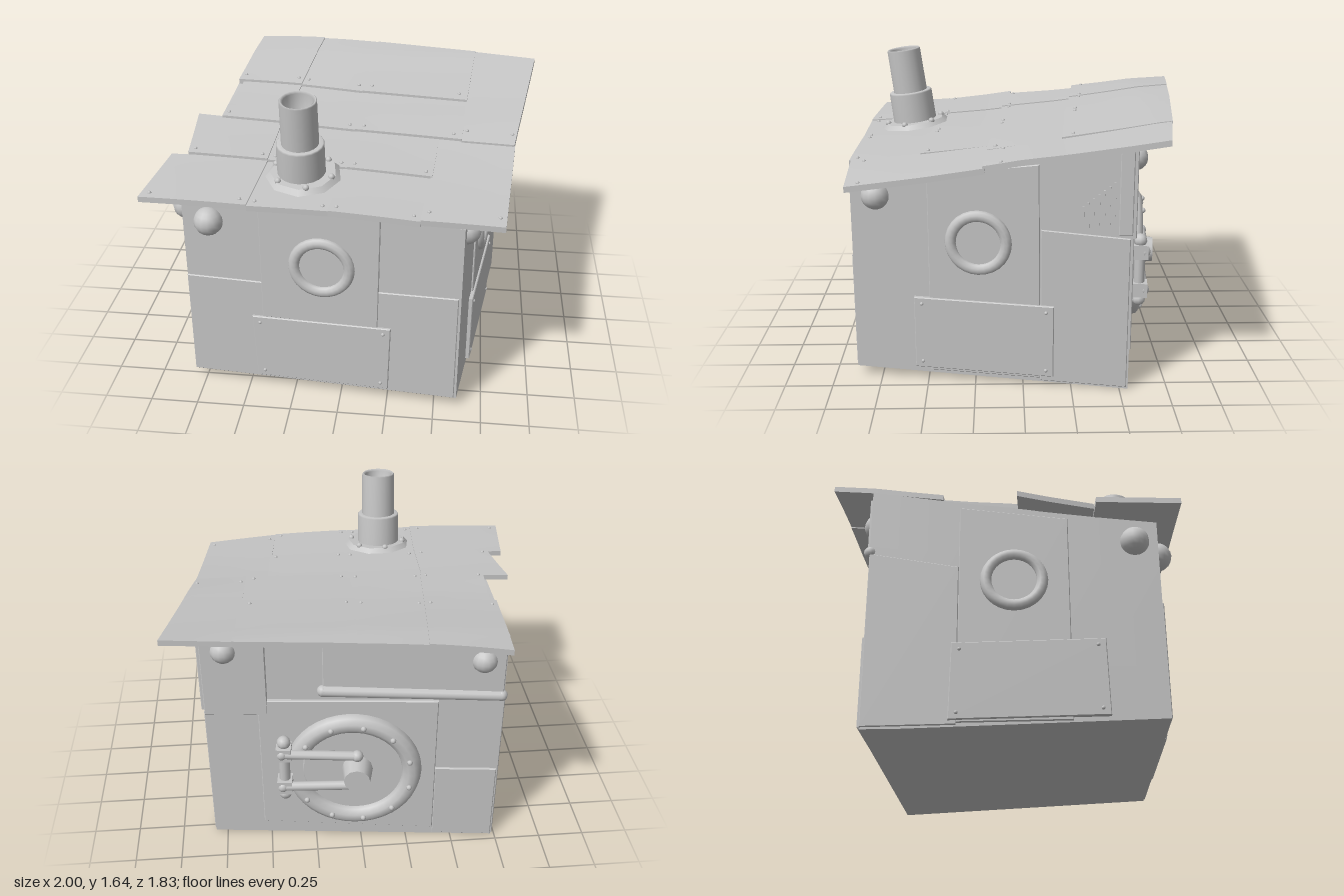
import * as THREE from 'three';

const metal = new THREE.MeshStandardMaterial({ color: 0xc6c6c6 });
metal.name = 'plain grey metal';
metal.side = THREE.DoubleSide;

function add(parent, geometry, name, x = 0, y = 0, z = 0) {
  const mesh = new THREE.Mesh(geometry, metal);
  mesh.name = name;
  mesh.position.set(x, y, z);
  parent.add(mesh);
  return mesh;
}

// Height of the sagging lean-to roof, by depth; it dips to the right at the front and curls down at its corners
const profile = [[-0.92, 1.392], [-0.7, 1.363], [-0.5, 1.322], [-0.2, 1.265], [0.2, 1.2], [0.5, 1.16], [0.92, 1.112]];
function roofY(x, z) {
  let i = 0;
  while (i < profile.length - 2 && z > profile[i + 1][0]) i++;
  const [z0, y0] = profile[i], [z1, y1] = profile[i + 1];
  const t = Math.min(1, Math.max(0, (z - z0) / (z1 - z0)));
  const curl = z > 0 ? 0.035 * z : x < 0 ? -0.088 * z : 0;
  return y0 + (y1 - y0) * t - 0.035 * x * Math.max(0, z) - curl * x * x;
}

// Point inside a plan quad: back-left, back-right, front-right, front-left
function inQuad([a, b, c, d], u, v) {
  const mix = k => (a[k] * (1 - u) + b[k] * u) * (1 - v) + (d[k] * (1 - u) + c[k] * u) * v;
  return [mix(0), mix(1)];
}

// A subdivided box warped onto a plan quad, with top and bottom heights given by rules
function slab(quad, top, bottom) {
  const geo = new THREE.BoxGeometry(1, 1, 1, 8, 4, 10);
  const p = geo.attributes.position;
  for (let i = 0; i < p.count; i++) {
    const v = p.getZ(i) + 0.5, h = p.getY(i) + 0.5;
    const [x, z] = inQuad(quad, p.getX(i) + 0.5, v);
    const lo = bottom(x, z, v), hi = top(x, z, v);
    p.setXYZ(i, x, lo + (hi - lo) * h, z);
  }
  geo.computeVertexNormals();
  return geo;
}

const plan = [[-0.73, -0.71], [0.815, -0.545], [0.618, 0.88], [-0.81, 0.768]];

// A frame on one wall: local x runs along the wall, local z points outward
function wall(root, from, to, name) {
  const g = new THREE.Group();
  g.name = name;
  g.position.set(from[0], 0, from[1]);
  g.rotation.y = Math.atan2(from[1] - to[1], to[0] - from[0]);
  root.add(g);
  return g;
}

// Flat sheet with a small bevel
function sheet(parent, pts, depth, name) {
  const shape = new THREE.Shape(pts.map(p => new THREE.Vector2(...p)));
  const b = 0.004;
  const geo = new THREE.ExtrudeGeometry(shape, { depth, bevelThickness: b, bevelSize: b, bevelOffset: -b, bevelSegments: 1 });
  add(parent, geo, name);
}

function rivet(parent, x, y, z, r = 0.01) {
  add(parent, new THREE.SphereGeometry(r, 8, 6), 'rivet', x, y, z);
}

// Riveted patch near the ground
function patch(parent, pts) {
  sheet(parent, pts, 0.018, 'patchPanel');
  const cx = pts.reduce((s, p) => s + p[0], 0) / 4, cy = pts.reduce((s, p) => s + p[1], 0) / 4;
  for (const [x, y] of pts) rivet(parent, x + Math.sign(cx - x) * 0.04, y + Math.sign(cy - y) * 0.035, 0.021);
}

// Flattened ring around a slightly sunken pane
function porthole(parent, x, y) {
  const ring = add(parent, new THREE.TorusGeometry(0.143, 0.03, 10, 28), 'windowRing', x, y, 0.012);
  ring.scale.z = 0.9;
  const pane = add(parent, new THREE.CylinderGeometry(0.125, 0.125, 0.01, 12), 'windowPane', x, y, 0.011);
  pane.rotation.x = Math.PI / 2;
}

function lamp(parent, x, y, r = 0.075, z = 0.01) {
  add(parent, new THREE.SphereGeometry(r, 14, 10), 'roundLamp', x, y, z);
}

// Straight rod with rounded ends
function bar(parent, a, b, r, name, endScale = 1.25) {
  const curve = new THREE.LineCurve3(new THREE.Vector3(...a), new THREE.Vector3(...b));
  add(parent, new THREE.TubeGeometry(curve, 1, r, 10), name);
  for (const end of [a, b]) add(parent, new THREE.SphereGeometry(r * endScale, 10, 8), name + 'End', ...end);
}

export function createModel() {
  const root = new THREE.Group();
  root.name = 'scrapHut';

  // Skewed body
  add(root, slab(plan, (x, z) => roofY(x, z) - 0.005, (x, z) => Math.max(0, 0.02 + z * 0.036)), 'body');

  // Overlapping roof sheets, row by row: each row gives its back and front edge points
  const rows = [
    [[[-0.7, -0.92], [-0.3, -0.87], [0.04, -0.83], [0.64, -0.75]], [[-0.74, -0.34], [-0.36, -0.3], [0.0, -0.25], [0.6, -0.2]]],
    [[[-0.71, -0.35], [-0.36, -0.32], [0.0, -0.27], [0.61, -0.22]], [[-0.75, 0.07], [-0.4, 0.1], [0.0, 0.14], [0.58, 0.18]]],
    [[[-0.89, 0.04], [-0.41, 0.09], [0.0, 0.12], [0.46, 0.17]], [[-0.85, 0.44], [-0.42, 0.47], [0.0, 0.5], [0.44, 0.53]]],
    [[[-0.94, 0.44], [-0.42, 0.45], [-0.02, 0.48], [0.44, 0.51]], [[-1.0, 0.86], [-0.45, 0.89], [-0.05, 0.89], [0.4, 0.91]]],
  ];
  const quads = [
    [[0.62, -0.75], [0.995, -0.69], [0.86, 0.2], [0.58, 0.19]],
    [[0.46, 0.17], [0.865, 0.19], [0.81, 0.88], [0.4, 0.9]],
  ];
  for (const [back, front] of rows)
    for (let i = 0; i < 3; i++) quads.push([back[i], back[i + 1], front[i + 1], front[i]]);
  quads.forEach((q, i) => {
    const top = (x, z, v) => roofY(x, z) + 0.018 + 0.014 * v + 0.003 * (i % 3);
    add(root, slab(q, top, (x, z, v) => top(x, z, v) - 0.03), 'roofSheet');
    for (const u of [0.08, 0.92]) {
      const [x, z] = inQuad(q, u, 0.9);
      rivet(root, x, top(x, z, 0.9), z);
    }
  });

  // Leaning stove pipe with an open top and a riveted flange
  const chimney = new THREE.Group();
  chimney.name = 'chimney';
  chimney.position.set(-0.218, 1.185, 0.605);
  chimney.rotation.x = 0.13;
  root.add(chimney);
  const tube = (pts, name) => add(chimney, new THREE.LatheGeometry(pts.map(p => new THREE.Vector2(...p)), 20), name);
  tube([[0.124, 0], [0.122, 0.195], [0.116, 0.203], [0.09, 0.203]], 'chimneyCollar');
  tube([[0.096, 0.18], [0.094, 0.44], [0.088, 0.447], [0.076, 0.437], [0.074, 0.28], [0, 0.28]], 'chimneyPipe');
  const flange = add(chimney, new THREE.CylinderGeometry(0.17, 0.195, 0.025, 9), 'chimneyFlange', 0.01, 0.022, 0);
  for (let i = 0; i < 6; i++) {
    const a = i * Math.PI / 3 + 0.3;
    rivet(flange, Math.cos(a) * 0.155, 0.014, Math.sin(a) * 0.155, 0.017);
  }

  const [bl, br, fr, fl] = plan;

  // Front wall
  const front = wall(root, fl, fr, 'frontWall');
  sheet(front, [[0, 0.05], [1.42, 0.055], [1.42, 0.68], [0.41, 0.66], [0, 0.66]], 0.004, 'lowerSheet');
  sheet(front, [[0.4, 0.45], [1.01, 0.45], [1.02, 1.1], [0.4, 1.12]], 0.01, 'middleSheet');
  porthole(front, 0.72, 0.79);
  patch(front, [[0.36, 0.07], [1.07, 0.075], [1.08, 0.46], [0.345, 0.45]]);
  lamp(front, 0.14, 1.0);

  // Wall on +x
  const left = wall(root, fr, br, 'leftWall');
  sheet(left, [[0.4, 0.055], [0.98, 0.04], [0.97, 1.2], [0.4, 1.13]], 0.006, 'middleSheet');
  sheet(left, [[0.98, 0.025], [1.43, 0.012], [1.43, 0.83], [0.98, 0.86]], 0.004, 'rearSheet');
  sheet(left, [[1.37, 0.85], [1.44, 0.85], [1.44, 1.29], [1.37, 1.28]], 0.014, 'cornerStrip');
  porthole(left, 0.66, 0.78);
  patch(left, [[0.32, 0.075], [1.05, 0.055], [1.05, 0.45], [0.32, 0.47]]);
  lamp(left, 0.13, 1.01, 0.075, -0.01);
  for (let i = 0; i < 7; i++)
    add(left, new THREE.BoxGeometry(0.01, 0.12 + 0.022 * i, 0.012), 'ventRib', 1.19 + i * 0.026, 0.93 + 0.011 * i, 0.004);

  // Wall on -x
  const right = wall(root, bl, fl, 'rightWall');
  sheet(right, [[0.46, 0.03], [1.02, 0.04], [1.02, 1.15], [0.46, 1.22]], 0.006, 'middleSheet');
  sheet(right, [[0, 0.01], [0.46, 0.02], [0.46, 0.87], [0, 0.95]], 0.004, 'rearSheet');
  porthole(right, 0.74, 0.79);
  patch(right, [[0.42, 0.04], [1.2, 0.06], [1.19, 0.46], [0.43, 0.44]]);
  lamp(right, 1.36, 1.01);

  // Back wall with covers, beam and round hatch
  const back = wall(root, br, bl, 'backWall');
  sheet(back, [[0.28, 0.09], [1.22, 0.06], [1.22, 0.93], [0.28, 0.92]], 0.014, 'hatchPlate');
  sheet(back, [[0, 0.83], [0.33, 0.83], [0.33, 1.27], [0, 1.28]], 0.016, 'upperCorner');
  sheet(back, [[0.62, 1.0], [1.55, 0.98], [1.55, 1.28], [0.62, 1.28]], 0.008, 'upperSheet');
  sheet(back, [[1.22, 0.015], [1.55, 0.01], [1.55, 0.48], [1.22, 0.48]], 0.008, 'lowerCorner');
  bar(back, [0.62, 0.985, 0.01], [1.54, 0.965, 0.0], 0.032, 'rolledBeam', 1);
  lamp(back, 0.12, 1.22, 0.068, 0.0);
  lamp(back, 1.44, 1.175, 0.068, -0.01);

  const hatch = new THREE.Group();
  hatch.name = 'hatch';
  hatch.position.set(0.77, 0.49, 0.02);
  back.add(hatch);
  const ringY = -0.01;
  const ring = add(hatch, new THREE.TorusGeometry(0.312, 0.054, 10, 36, Math.PI * 1.75), 'hatchRing', 0.01, ringY);
  ring.rotation.z = Math.PI * 1.12;
  for (let i = 0; i < 10; i++) {
    const a = Math.PI * (1.2 + i * 0.178);
    rivet(hatch, 0.01 + Math.cos(a) * 0.312, ringY + Math.sin(a) * 0.312, 0.052, 0.016);
  }
  const turn = Math.PI / 2;
  add(hatch, new THREE.CylinderGeometry(0.27, 0.28, 0.02, 28), 'hatchDoor', 0.01, ringY).rotation.x = turn;
  add(hatch, new THREE.CylinderGeometry(0.07, 0.085, 0.12, 12), 'hatchHub', 0.03, 0.0, 0.06).rotation.x = turn;
  bar(hatch, [-0.36, -0.15, 0.035], [-0.36, 0.19, 0.035], 0.03, 'hingePost');
  for (const y of [-0.09, 0.13]) {
    bar(hatch, [-0.37, y, 0.06], [0.03, y * 0.9, 0.05], 0.026, 'hingeArm');
    add(hatch, new THREE.BoxGeometry(0.08, 0.08, 0.09), 'hingeBlock', -0.36, y, 0.035);
  }
  return root;
}
